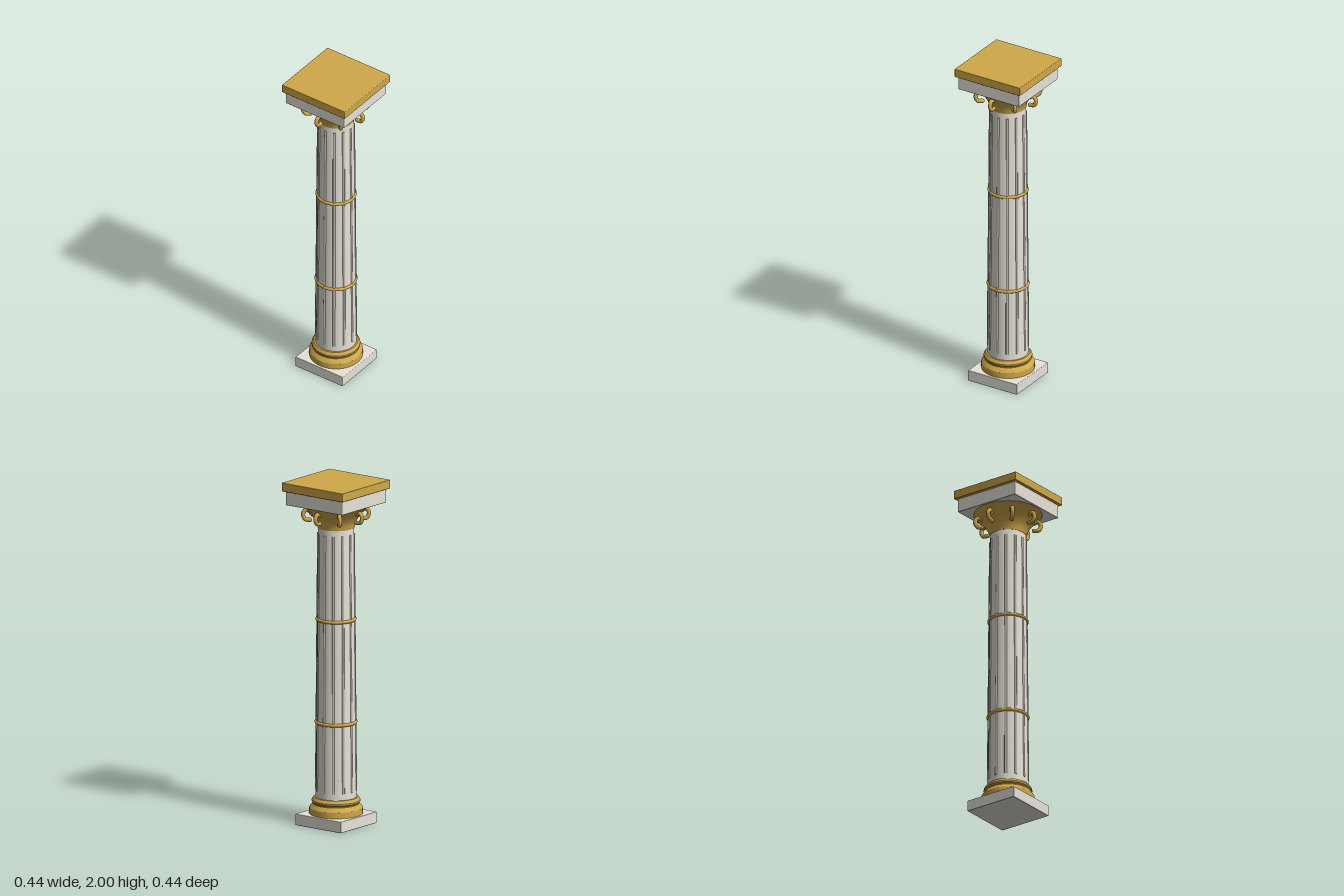
import * as THREE from 'three';
import { toCreasedNormals } from 'three/addons/utils/BufferGeometryUtils.js';
import { RoundedBoxGeometry } from 'three/addons/geometries/RoundedBoxGeometry.js';

export function createModel() {
  const column = new THREE.Group();
  column.name = 'column';

  const material = (name, color) => {
    const m = new THREE.MeshStandardMaterial({ color });
    m.name = name;
    return m;
  };
  const stone = material('pale stone', 0xe8e4da);
  const groove = material('shaded stone', 0xbab5aa);
  const gold = material('gold', 0xcfa84a);

  const add = (name, geometry, mat, parent = column) => {
    const mesh = new THREE.Mesh(geometry, mat);
    mesh.name = name;
    parent.add(mesh);
    return mesh;
  };
  const slab = (name, width, y0, y1, mat) => {
    const g = new RoundedBoxGeometry(width, y1 - y0, width, 2, 0.004);
    add(name, g, mat).position.y = (y0 + y1) / 2;
  };
  const turned = (name, profile, mat) => {
    const g = new THREE.LatheGeometry(profile.map(([r, y]) => new THREE.Vector2(r, y)), 48);
    add(name, toCreasedNormals(g, 0.5), mat);
  };

  // Square slabs at the foot and the top
  slab('plinth', 0.33, 0, 0.066, stone);
  slab('abacus', 0.408, 1.868, 1.949, stone);
  slab('topSlab', 0.44, 1.949, 2, gold);

  // Moulded base
  turned('base', [
    [0, 0.064], [0.152, 0.064], [0.152, 0.1], [0.147, 0.108], [0.133, 0.124],
    [0.133, 0.13], [0.138, 0.137], [0.138, 0.146], [0.126, 0.163], [0, 0.163],
  ], gold);

  // Tapering shaft
  const y0 = 0.16, y1 = 1.74;
  const radiusAt = (y) => THREE.MathUtils.mapLinear(y, y0, y1, 0.116, 0.103);
  turned('shaft', [[radiusAt(y0), y0], [radiusAt(y1), y1]], stone);

  // Twelve slender ribs leaning with the taper
  const ribs = new THREE.Group();
  ribs.name = 'ribs';
  column.add(ribs);
  const ribGeometry = new THREE.CylinderGeometry(0.008, 0.008, 1.5, 10);
  ribGeometry.rotateX(-Math.atan((radiusAt(y0) - radiusAt(y1)) / (y1 - y0)));
  ribGeometry.translate(0, 0.95, radiusAt(0.95) - 0.003);
  for (let i = 0; i < 12; i++) {
    add('rib', ribGeometry, groove, ribs).rotation.y = (i * Math.PI) / 6;
  }

  // Bands round the shaft
  for (const y of [0.6, 1.2]) {
    const band = add('band', new THREE.TorusGeometry(radiusAt(y), 0.01, 10, 48), gold);
    band.rotation.x = Math.PI / 2;
    band.position.y = y;
  }

  // Flaring capital
  turned('capital', [
    [0, 1.733], [0.105, 1.733], [0.109, 1.757], [0.121, 1.782], [0.14, 1.812],
    [0.167, 1.842], [0.195, 1.868], [0, 1.868],
  ], gold);

  // Eight curled leaves round the capital
  const path = new THREE.CatmullRomCurve3([
    [0.145, 1.825], [0.164, 1.838], [0.181, 1.831], [0.188, 1.808], [0.176, 1.784], [0.148, 1.779],
  ].map(([r, y]) => new THREE.Vector3(0, y, r)));
  const leafGeometry = new THREE.TubeGeometry(path, 20, 0.012, 10);
  const tipGeometry = new THREE.SphereGeometry(0.012, 10, 8);
  for (let i = 0; i < 8; i++) {
    const leaf = new THREE.Group();
    leaf.name = 'curledLeaf';
    leaf.rotation.y = (i * Math.PI) / 4;
    column.add(leaf);
    add('leafCurl', leafGeometry, gold, leaf);
    add('leafTip', tipGeometry, gold, leaf).position.copy(path.getPoint(1));
  }

  return column;
}
